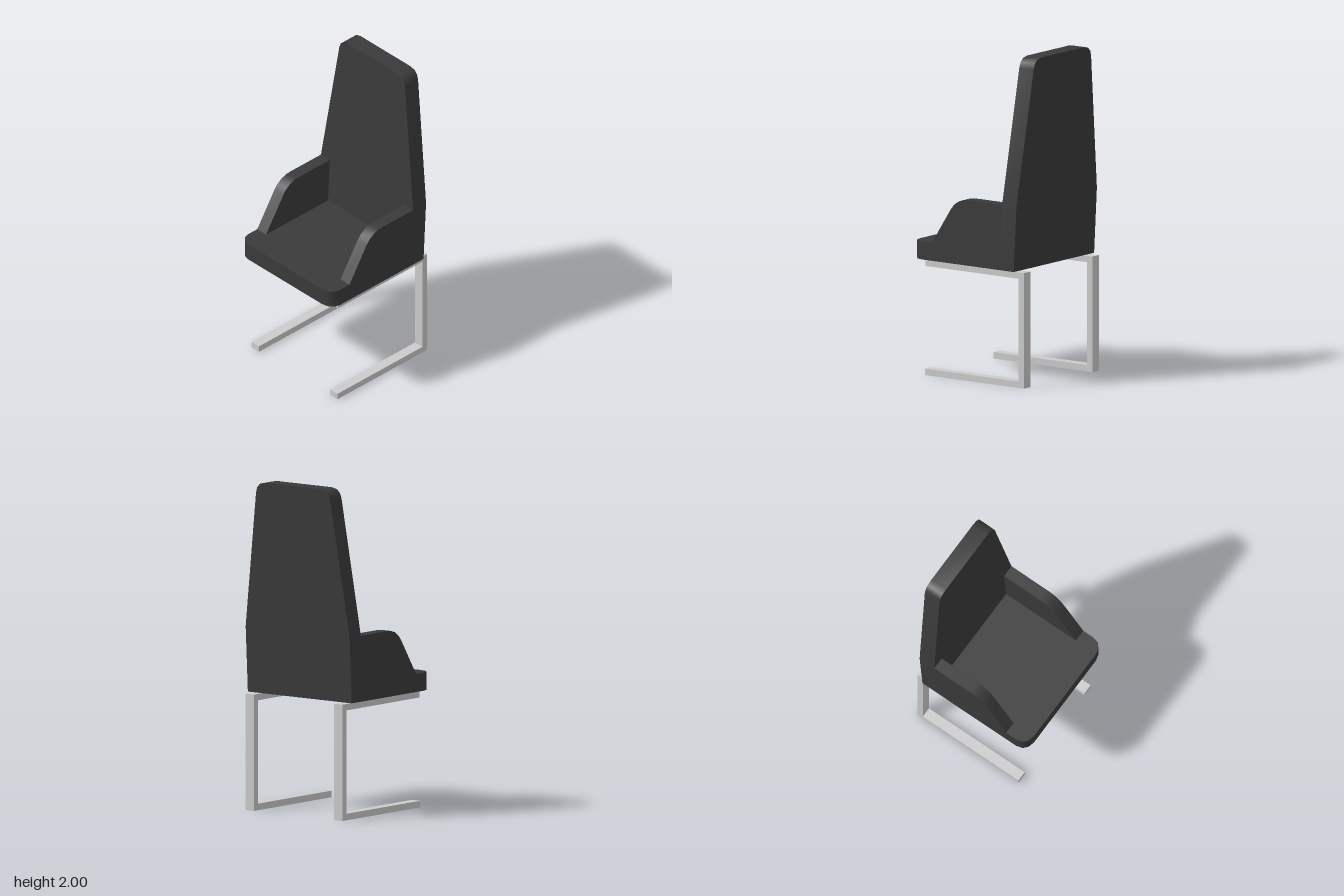
import * as THREE from 'three';
import { toCreasedNormals } from 'three/addons/utils/BufferGeometryUtils.js';

const upholstery = new THREE.MeshStandardMaterial({ color: 0x3a3a3a });
const metal = new THREE.MeshStandardMaterial({ color: 0xcccccc });

const SEAT_BOTTOM = 0.71, SEAT_TOP = 0.82, ARM_TOP = 1.11;
const HALF_WIDTH = 0.4, ARM_WIDTH = 0.077;
const BACK_THICKNESS = 0.108;

// z of the reclined backrest's front face at height y
const backFront = (y) => -0.241 - 0.052 * (y - SEAT_BOTTOM);

// Straight extrusion of a point outline, smooth over shallow bends
function extrude(points, depth) {
  const shape = new THREE.Shape(points.map(([x, y]) => new THREE.Vector2(x, y)));
  return new THREE.ExtrudeGeometry(shape, { depth, bevelEnabled: false });
}

// Mirrors the right half of an outline to close it
const mirrored = (half) => [...half, ...half.map(([x, y]) => [-x, y]).reverse()];

// Moves vertices by a rule, then rebuilds the normals
function finish(geometry, rule) {
  const p = geometry.attributes.position;
  const v = new THREE.Vector3();
  if (rule) {
    for (let i = 0; i < p.count; i++) {
      v.fromBufferAttribute(p, i);
      rule(v);
      p.setXYZ(i, v.x, v.y, v.z);
    }
  }
  return toCreasedNormals(geometry, 0.65);
}

function addMesh(group, name, geometry, material, x = 0) {
  const mesh = new THREE.Mesh(geometry, material);
  mesh.name = name;
  mesh.position.x = x;
  group.add(mesh);
}

export function createModel() {
  const chair = new THREE.Group();
  chair.name = 'chair';

  // Seat slab with rounded front corners, its rear edge meeting the backrest
  const seat = extrude(mirrored([
    [HALF_WIDTH, 0.24], [HALF_WIDTH, -0.34], [0.39, -0.38], [0.364, -0.405], [0.322, -0.416],
  ]), SEAT_TOP - SEAT_BOTTOM);
  seat.rotateX(-Math.PI / 2).translate(0, SEAT_BOTTOM, 0);
  addMesh(chair, 'seat', finish(seat, (v) => {
    if (v.z < -0.2) v.z = backFront(v.y);
  }), upholstery);

  // Tall tapered backrest, sheared backwards
  const back = extrude(mirrored([
    [HALF_WIDTH, SEAT_BOTTOM], [HALF_WIDTH, ARM_TOP], [0.286, 1.935],
    [0.276, 1.968], [0.252, 1.992], [0.212, 2],
  ]), BACK_THICKNESS);
  addMesh(chair, 'backrest', finish(back, (v) => {
    v.z += backFront(v.y) - BACK_THICKNESS;
  }), upholstery);

  // Armrest side profile, drawn as (z, y)
  const arm = extrude([
    [backFront(SEAT_TOP), SEAT_TOP], [0.267, SEAT_TOP], [0.125, 1.04], [0.1, 1.071],
    [0.065, 1.095], [0.03, 1.107], [0, ARM_TOP], [backFront(ARM_TOP), ARM_TOP],
  ], ARM_WIDTH);
  const armGeometry = finish(arm.rotateY(-Math.PI / 2));

  // C-shaped cantilever leg, drawn as (z, y)
  const legWidth = 0.064;
  const leg = extrude([
    [0.34, 0], [0.34, 0.04], [-0.365, 0.04], [-0.365, 0.667],
    [0.335, 0.667], [0.335, 0.706], [-0.405, 0.706], [-0.405, 0],
  ], legWidth);
  const legGeometry = finish(leg.rotateY(-Math.PI / 2));

  for (const [side, s] of [['left', 1], ['right', -1]]) {
    addMesh(chair, side + 'Armrest', armGeometry, upholstery,
      s * (HALF_WIDTH - ARM_WIDTH / 2) + ARM_WIDTH / 2);
    addMesh(chair, side + 'Leg', legGeometry, metal, s * 0.341 + legWidth / 2);
  }

  return chair;
}
